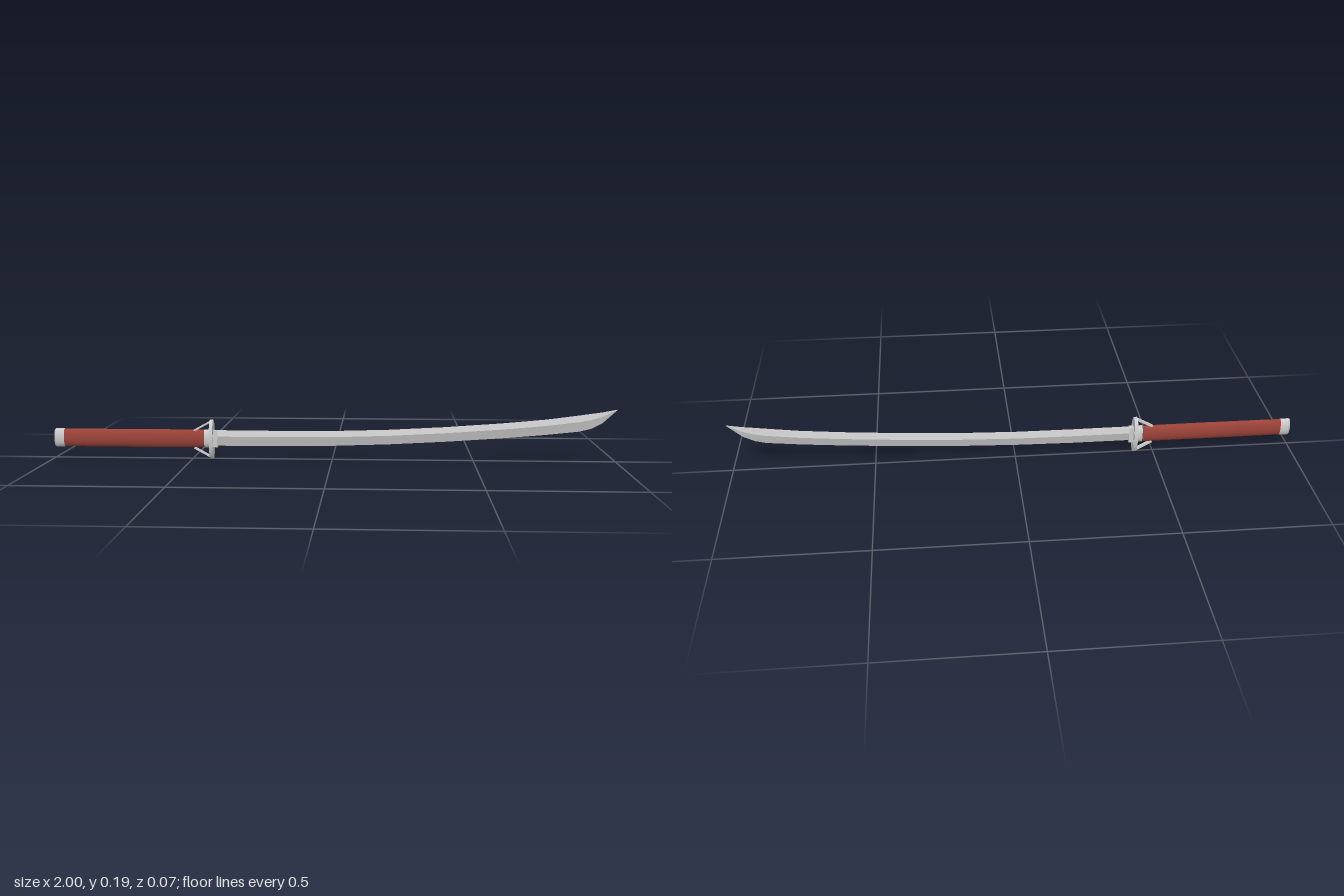
import * as THREE from 'three';

const MID = 0.072; // height of the handle axis

function part(name, geometry, material, parent) {
  const mesh = new THREE.Mesh(geometry, material);
  mesh.name = name;
  parent.add(mesh);
  return mesh;
}

// Oval lathe along x: profile rows are [x, scale of the oval]
function ovalLathe(profile, halfY, halfZ) {
  const g = new THREE.LatheGeometry(profile.map(([x, r]) => new THREE.Vector2(r, x)), 24);
  g.rotateZ(-Math.PI / 2); // lathe axis y -> x
  g.scale(1, halfY, halfZ);
  return g.translate(0, MID, 0);
}

// Blade lofted from hexagonal sections: flat spine, wide ridge, sharp edge
function bladeGeometry() {
  // x, spine height, edge height, half thickness
  const rows = [
    [-0.44, 0.102, 0.046, 0.01], [-0.2, 0.101, 0.046, 0.01], [0, 0.102, 0.049, 0.01],
    [0.2, 0.108, 0.056, 0.01], [0.4, 0.119, 0.067, 0.01], [0.6, 0.134, 0.081, 0.01],
    [0.75, 0.148, 0.094, 0.01], [0.87, 0.164, 0.107, 0.0095], [0.91, 0.17, 0.117, 0.008],
    [0.95, 0.176, 0.138, 0.005], [1, 0.186, 0.184, 0.0005],
  ];
  const pos = [], index = [], n = 5;
  for (const [x, top, edge, t] of rows) {
    const ridge = edge + (top - edge) * 0.62;
    pos.push(x, top, t * 0.35, x, ridge, t, x, edge, 0, x, ridge, -t, x, top, -t * 0.35);
  }
  for (let i = 0; i < rows.length - 1; i++) {
    for (let j = 0; j < n; j++) {
      const a = i * n + j, b = i * n + (j + 1) % n;
      index.push(a, b, a + n, b, b + n, a + n);
    }
  }
  const last = (rows.length - 1) * n;
  for (let j = 1; j < n - 1; j++) {
    index.push(0, j + 1, j, last, last + j, last + j + 1);
  }
  let g = new THREE.BufferGeometry();
  g.setAttribute('position', new THREE.Float32BufferAttribute(pos, 3));
  g.setIndex(index);
  g = g.toNonIndexed();
  g.computeVertexNormals();
  return g;
}

// Oval guard with a C-shaped opening on each side
function guardGeometry() {
  const shape = new THREE.Shape();
  shape.absellipse(0, 0, 0.0345, 0.07, 0, Math.PI * 2, false);
  for (const s of [1, -1]) {
    const pts = [];
    for (let i = 0; i <= 10; i++) {
      const a = -0.53 + i * 0.106;
      pts.push(new THREE.Vector2(s * 0.0312 * Math.cos(a), 0.064 * Math.sin(a)));
    }
    for (const [z, y] of [[0.011, 0.019], [0.013, 0.007], [0.025, 0.019],
      [0.025, -0.019], [0.013, -0.007], [0.011, -0.019]]) {
      pts.push(new THREE.Vector2(s * z, y));
    }
    shape.holes.push(new THREE.Path(pts));
  }
  const g = new THREE.ExtrudeGeometry(shape, { depth: 0.012, bevelEnabled: false, curveSegments: 24 });
  g.rotateY(Math.PI / 2);
  return g.translate(-0.438, 0.07, 0);
}

export function createModel() {
  const sword = new THREE.Group();
  sword.name = 'curvedSword';
  const steel = new THREE.MeshStandardMaterial({ color: 0xcccccc });
  const red = new THREE.MeshStandardMaterial({ color: 0x9a4238 });

  part('blade', bladeGeometry(), steel, sword);
  part('guard', guardGeometry(), steel, sword);

  // Block that seats the blade in the guard
  part('bladeCollar', new THREE.BoxGeometry(0.03, 0.06, 0.02), steel, sword)
    .position.set(-0.425, MID, 0);

  // Wrapped grip between two metal fittings
  part('grip', ovalLathe([[-0.97, 1], [-0.7, 1.02], [-0.45, 1]], 0.032, 0.015), red, sword);
  part('gripCollar', ovalLathe([[-0.458, 0], [-0.458, 1.04], [-0.458, 1.04], [-0.436, 1.04]],
    0.032, 0.015), steel, sword);
  part('pommel', ovalLathe([[-1, 0], [-1, 0.96], [-0.996, 1.04], [-0.996, 1.04],
    [-0.965, 1.04], [-0.965, 1.04], [-0.965, 0.9]], 0.032, 0.015), steel, sword);

  // Sloping braces from the grip to the top and bottom of the guard
  for (const s of [1, -1]) {
    const dx = 0.062, dy = 0.034;
    const brace = part(s > 0 ? 'upperBrace' : 'lowerBrace',
      new THREE.BoxGeometry(Math.hypot(dx, dy), 0.006, 0.014), steel, sword);
    brace.position.set(-0.464, 0.07 + s * 0.048, 0);
    brace.rotation.z = s * Math.atan2(dy, dx);
  }
  return sword;
}
